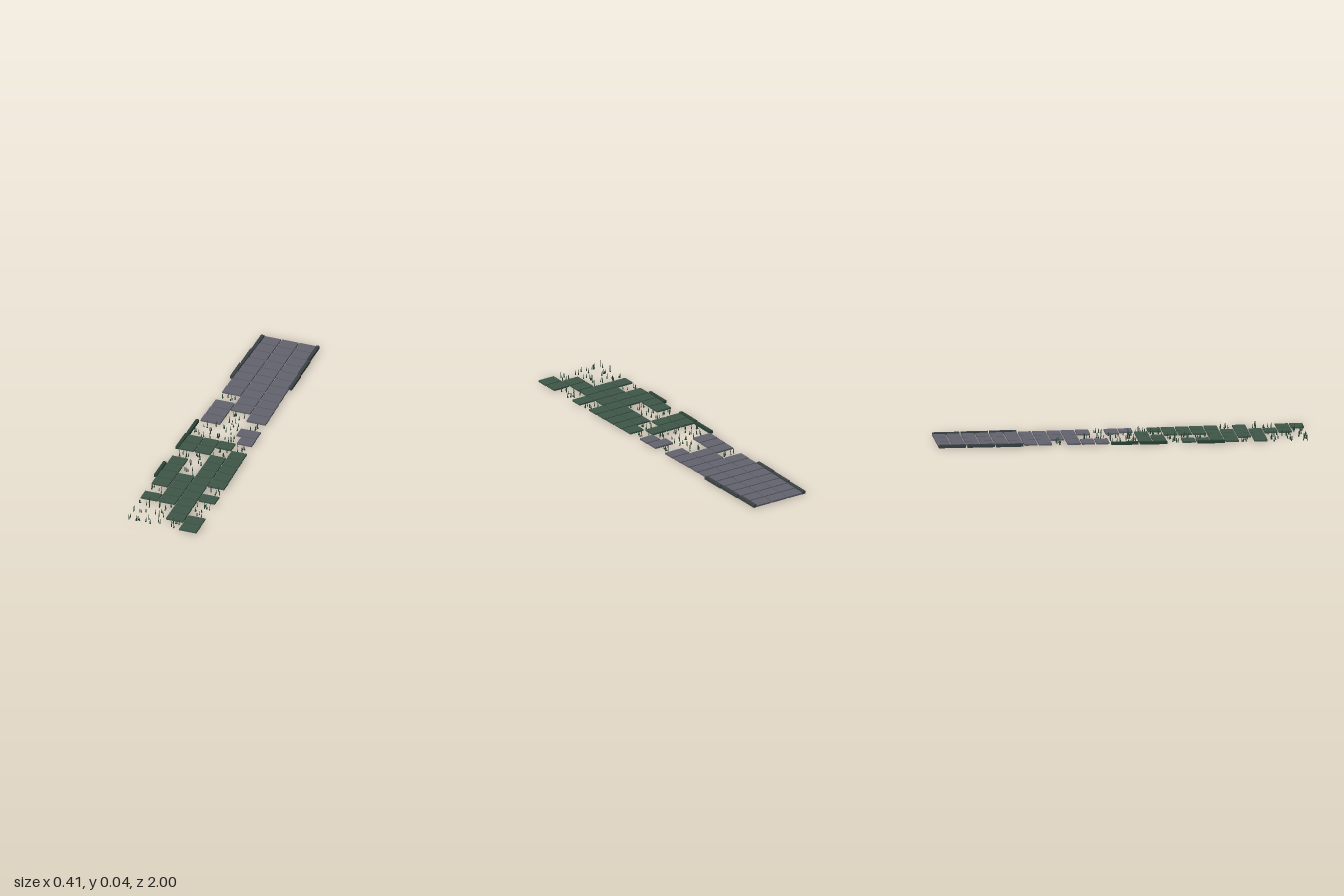
import * as THREE from 'three';

// One string per row from back to front: 1 = slab, 0 = missing slab with grass
const ROWS = ['111', '111', '111', '111', '111', '111', '111', '111', '011', '111', '101', '100', '001',
  '0001', '1110', '1101', '0011', '1011', '1011', '1111', '1110', '0111', '1110', '0010', '0011', '0001'];
// Kerb stones as [side, first row]; each one spans two rows
const KERBS = [[-1, 0], [-1, 2], [-1, 4], [1, 0], [1, 2], [1, 4], [-1, 12], [-1, 14], [-1, 18]];
const PITCH = 0.0772, DEPTH = 0.07, GAP = 0.006, MOSSY_FROM = 14;

// Small seeded random number
let seed = 7;
const rand = (a, b) => {
  seed = (seed * 16807) % 2147483647;
  return a + (b - a) * (seed / 2147483647);
};

const rowZ = (r) => -1 + DEPTH / 2 + r * PITCH;
const halfWidth = (r) => 0.15 + 0.058 * (r / 25); // path widens towards the front

export function createModel() {
  const model = new THREE.Group();
  model.name = 'brokenPath';
  const material = (name, color) => {
    const m = new THREE.MeshStandardMaterial({ color, flatShading: true });
    m.name = name;
    return m;
  };
  const stone = material('greyStone', 0x64636f);
  const mossy = material('mossyStone', 0x3f5748);
  const kerbGrey = material('darkKerb', 0x3c4345);
  const kerbMoss = material('mossyKerb', 0x2d4437);
  const grassMat = material('grass', 0x2e4a3a);

  const box = new THREE.BoxGeometry(1, 1, 1);
  const blade = new THREE.ConeGeometry(1, 1, 4).translate(0, 0.5, 0);
  const groups = {};
  for (const n of ['slabs', 'kerbs', 'grass']) {
    groups[n] = new THREE.Group();
    groups[n].name = n;
    model.add(groups[n]);
  }
  const add = (group, name, geo, mat, pos, size) => {
    const m = new THREE.Mesh(geo, mat);
    m.name = name;
    m.position.set(...pos);
    m.scale.set(...size);
    groups[group].add(m);
    return m;
  };

  // Slabs, with tufts of grass where a slab is missing
  ROWS.forEach((row, r) => {
    const half = halfWidth(r), w = (2 * half) / row.length, z = rowZ(r);
    [...row].forEach((cell, c) => {
      const x = -half + w * (c + 0.5);
      if (cell === '1') {
        add('slabs', 'slab', box, r < MOSSY_FROM ? stone : mossy,
          [x, 0.0075, z], [w - GAP, 0.009, DEPTH]);
        return;
      }
      for (let i = 0; i < 6; i++) {
        const rad = rand(0.003, 0.0045);
        const b = add('grass', 'grassBlade', blade, grassMat,
          [x + rand(-0.38, 0.38) * w, 0, z + rand(-0.4, 0.4) * DEPTH], [rad, rand(0.022, 0.04), rad]);
        b.rotation.set(rand(-0.12, 0.12), rand(0, 3), rand(-0.12, 0.12));
      }
    });
  });

  // Kerb stones along the edges
  for (const [side, r] of KERBS) {
    add('kerbs', 'kerbStone', box, r < 12 ? kerbGrey : kerbMoss,
      [side * (halfWidth(r + 0.5) + 0.007), 0.01, rowZ(r + 0.5)], [0.018, 0.016, 0.146]);
  }
  return model;
}
